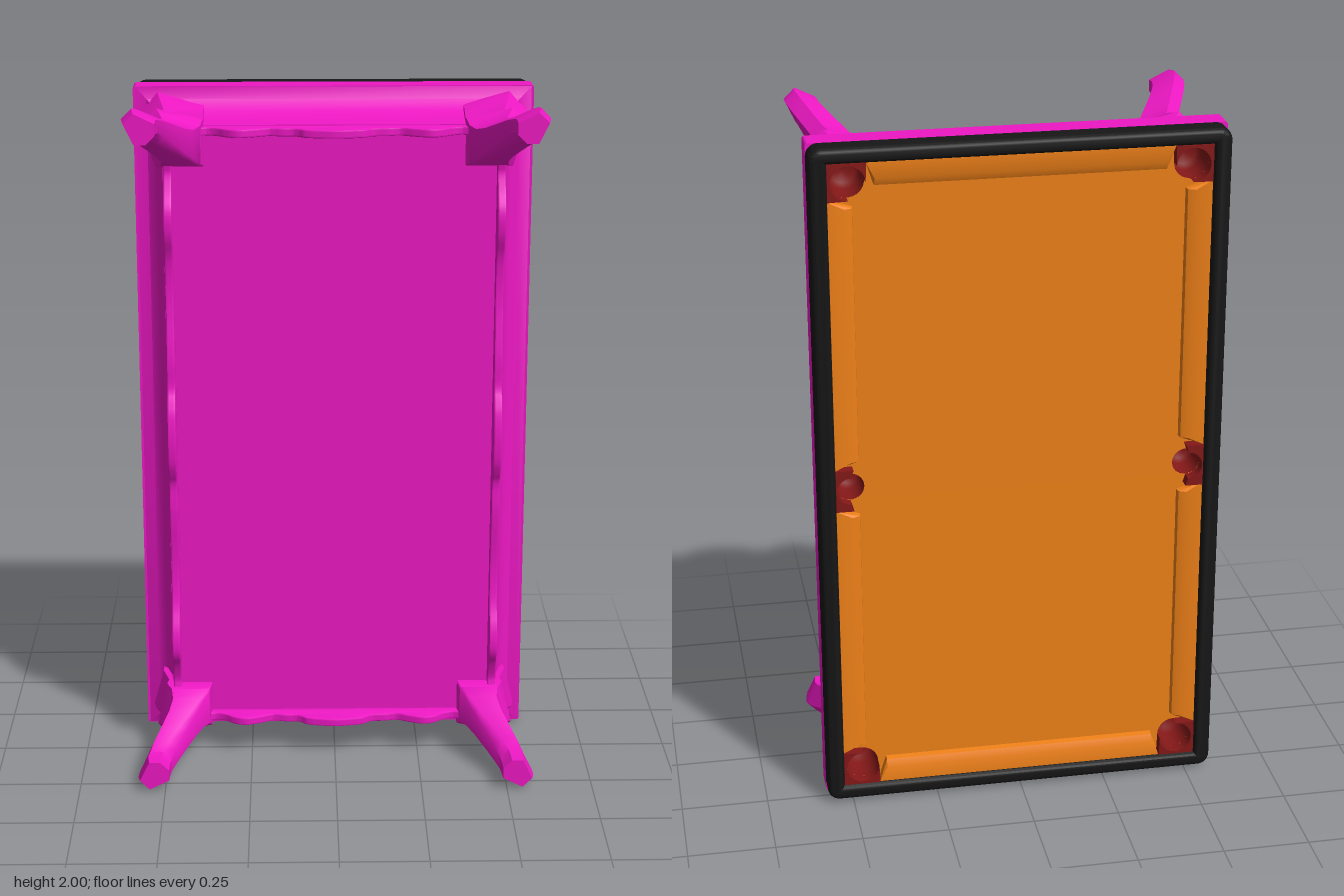
import * as THREE from 'three';
import { toCreasedNormals } from 'three/addons/utils/BufferGeometryUtils.js';

const mat = (color) => new THREE.MeshStandardMaterial({ color });
const W = 0.575, H = 0.99;        // half width and half length of the table
const IW = 0.525, IH = 0.945;     // half size of the opening inside the rail

// Skin a row of closed rings (counter-clockwise, rising z) and cap both ends
function loft(rings, crease = 0.6) {
  const pos = [], index = [], n = rings[0].pts.length;
  rings.forEach(({ z, pts }) => pts.forEach(([x, y]) => pos.push(x, y, z)));
  for (let k = 0; k < rings.length - 1; k++) {
    for (let j = 0; j < n; j++) {
      const a = k * n + j, b = k * n + (j + 1) % n;
      index.push(a, b, b + n, a, b + n, a + n);
    }
  }
  const last = (rings.length - 1) * n;
  for (let j = 1; j < n - 1; j++) {
    index.push(0, j + 1, j, last, last + j, last + j + 1);
  }
  const g = new THREE.BufferGeometry();
  g.setAttribute('position', new THREE.Float32BufferAttribute(pos, 3));
  g.setIndex(index);
  return toCreasedNormals(g, crease);
}

const rect = (w, h) => [[-w, -h], [w, -h], [w, h], [-w, h]];
const toShape = (pts) => new THREE.Shape(pts.map(([x, y]) => new THREE.Vector2(x, y)));

function roundedRect(w, h, r) {
  const s = new THREE.Shape();
  s.absarc(w - r, h - r, r, 0, Math.PI / 2);
  s.absarc(r - w, h - r, r, Math.PI / 2, Math.PI);
  s.absarc(r - w, r - h, r, Math.PI, Math.PI * 1.5);
  s.absarc(w - r, r - h, r, Math.PI * 1.5, Math.PI * 2);
  return s;
}

// Points on an arc running clockwise from angle a to angle b
function arc(cx, cy, r, a, b, n = 16) {
  return Array.from({ length: n + 1 }, (_, i) => {
    const t = a + (b - a) * i / n;
    return [cx + r * Math.cos(t), cy + r * Math.sin(t)];
  });
}

// Extrude a plan shape between two z levels
function slab(shape, z0, z1) {
  const g = new THREE.ExtrudeGeometry(shape, { depth: z1 - z0, bevelEnabled: false, curveSegments: 16 });
  return toCreasedNormals(g.translate(0, 0, z0), 0.6);
}

// Curved leg: z, inner corner, side corner, outer face, corner cut (measured from the table corner)
function legGeometry() {
  const rows = [
    [-0.165, -0.205, -0.055, -0.02, 0.05, 0.002],
    [-0.10, -0.205, -0.055, -0.03, 0.05, 0.002],
    [-0.03, -0.205, -0.075, -0.058, 0.04, 0.002],
    [0.00, -0.205, -0.07, -0.04, 0.035, 0.002],
    [0.025, -0.198, -0.085, -0.05, 0.035, 0.004],
    [0.06, -0.182, -0.09, -0.06, 0.035, 0.008],
    [0.10, -0.16, -0.08, -0.05, 0.03, 0.012],
    [0.15, -0.133, -0.06, -0.03, 0.03, 0.018],
    [0.20, -0.107, -0.04, -0.01, 0.03, 0.022],
    [0.24, -0.092, -0.03, 0.002, 0.03, 0.025],
    [0.265, -0.088, -0.025, 0.005, 0.028, 0.025],
    [0.305, -0.087, -0.03, -0.002, 0.028, 0.025],
  ];
  return loft(rows.map(([z, i, s, o, c, k]) => ({
    z, pts: [[i + k, i], [s, i], [o, o - c], [o - c, o], [i, s], [i, i + k]],
  })), 0.75);
}

// Scalloped skirt board: mirrored half profile, running along x, hanging towards +z
function skirtGeometry(half, profile) {
  const pts = [...profile.slice(1).reverse().map(([t, z]) => [-t, z]), ...profile];
  const curve = new THREE.SplineCurve(pts.map(([t, z]) => new THREE.Vector2(t, z)));
  const outline = [[half, -0.02], [-half, -0.02], ...curve.getPoints(96).map((p) => [p.x, p.y])];
  const g = new THREE.ExtrudeGeometry(toShape(outline), {
    depth: 0.014, bevelThickness: 0.005, bevelSize: 0.004, bevelOffset: -0.004, bevelSegments: 2,
  });
  return toCreasedNormals(g.translate(0, 0, -0.007).rotateX(Math.PI / 2), 0.6);
}

// Cushion block: back on x = 0, sloping nose towards -x
function cushionGeometry(half) {
  const ring = (z, n) => ({ z, pts: [[0, -half], [0, half], [-n, half - 0.022], [-n, 0.022 - half]] });
  return loft([ring(-0.29, 0.045), ring(-0.28, 0.066), ring(-0.255, 0.07)], 0.5);
}

export function createModel() {
  const model = new THREE.Group();
  const table = new THREE.Group();
  table.name = 'poolTable';
  table.position.y = 1;
  model.add(table);

  const pink = mat(0xee18c4), black = mat(0x161616), orange = mat(0xee8018);
  const red = mat(0x841818);
  red.side = THREE.DoubleSide;

  const add = (name, geometry, material, x = 0, y = 0, turn = 0) => {
    const m = new THREE.Mesh(geometry, material);
    m.name = name;
    m.position.set(x, y, 0);
    m.rotation.z = turn;
    table.add(m);
    return m;
  };

  // Black top rail with rounded edges
  const railShape = roundedRect(W, H, 0.035);
  railShape.holes.push(new THREE.Path(rect(IW, IH).map(([x, y]) => new THREE.Vector2(x, y))));
  const rail = new THREE.ExtrudeGeometry(railShape, {
    depth: 0.045, bevelThickness: 0.02, bevelSize: 0.015, bevelOffset: -0.015, bevelSegments: 4, curveSegments: 8,
  });
  add('topRail', toCreasedNormals(rail.translate(0, 0, -0.285), 0.6), black);

  // Band under the rail
  const bandShape = roundedRect(W, H, 0.008);
  bandShape.holes.push(new THREE.Path(rect(IW, IH).map(([x, y]) => new THREE.Vector2(x, y))));
  add('band', slab(bandShape, -0.24, -0.165), pink);

  // Coved apron closed by the underside panel
  const cove = [[-0.165, 0.568], [-0.152, 0.535], [-0.12, 0.508], [-0.07, 0.493], [-0.01, 0.486]];
  add('apron', loft(cove.map(([z, w]) => ({ z, pts: rect(w, w + 0.42) }))), pink);

  // Scalloped skirts on all four sides
  const endSkirt = skirtGeometry(0.375, [
    [0, 0.07], [0.05, 0.064], [0.085, 0.055], [0.11, 0.036], [0.15, 0.033], [0.185, 0.026],
    [0.22, 0.042], [0.265, 0.057], [0.3, 0.048], [0.33, 0.025], [0.355, 0.015], [0.375, 0.02]]);
  const sideSkirt = skirtGeometry(0.8, [
    [0, 0.072], [0.07, 0.066], [0.11, 0.052], [0.15, 0.036], [0.24, 0.036], [0.4, 0.019],
    [0.52, 0.026], [0.6, 0.055], [0.67, 0.058], [0.72, 0.032], [0.77, 0.014], [0.8, 0.018]]);
  for (const s of [-1, 1]) {
    add('endSkirt', endSkirt, pink, 0, s * 0.892);
    add('sideSkirt', sideSkirt, pink, s * 0.472, 0, Math.PI / 2);
  }

  // Playing bed with pocket holes
  const corner = { x: 0.47, y: 0.89, r: 0.048 }, middle = { x: 0.482, y: 0, r: 0.04 };
  const pockets = [];
  for (const sx of [-1, 1]) {
    for (const sy of [-1, 1]) pockets.push([sx * corner.x, sy * corner.y, corner.r]);
    pockets.push([sx * middle.x, 0, middle.r]);
  }
  const bedShape = toShape(rect(IW + 0.005, IH + 0.005));
  pockets.forEach(([x, y, r]) => bedShape.holes.push(new THREE.Path().absarc(x, y, r, 0, Math.PI * 2, true)));
  add('bed', slab(bedShape, -0.262, -0.25), orange);

  // Pocket cups sunk below the bed
  for (const [x, y, r] of pockets) {
    const profile = [[0, -0.172], [r * 0.7, -0.174], [r * 0.95, -0.19], [r, -0.261]];
    const cup = new THREE.LatheGeometry(profile.map(([a, b]) => new THREE.Vector2(a, b)), 24);
    add('pocketCup', cup.rotateX(Math.PI / 2), red, x, y);
  }

  // Pocket liners that fill the rail corners and the middles of the long sides
  const d = 0.055, q = Math.PI / 2;
  const cornerLiner = slab(toShape([
    [0, 0], [-d - 0.05, 0], ...arc(-d, -d, corner.r, 2 * q, -q), [0, -d - 0.05]]), -0.294, -0.25);
  const sideLiner = slab(toShape([
    [0, -0.062], [0, 0.062], [-0.05, 0.062], ...arc(middle.x - IW, 0, middle.r, q, -q), [-0.05, -0.062]]), -0.294, -0.25);

  // Legs and corner liners, one turned copy per corner
  const leg = legGeometry();
  [[1, 1], [-1, 1], [-1, -1], [1, -1]].forEach(([sx, sy], i) => {
    add('leg', leg, pink, sx * W, sy * 0.995, i * q);
    add('cornerPocketLiner', cornerLiner, red, sx * IW, sy * IH, i * q);
  });

  // Cushions: two per long side, one per end
  const longCushion = cushionGeometry(0.389), endCushion = cushionGeometry(0.42);
  for (const s of [-1, 1]) {
    const turn = s > 0 ? 0 : Math.PI;
    add('sidePocketLiner', sideLiner, red, s * IW, 0, turn);
    for (const t of [-1, 1]) add('longCushion', longCushion, orange, s * IW, t * 0.451, turn);
    add('endCushion', endCushion, orange, 0, s * IH, turn + q);
  }
  return model;
}
